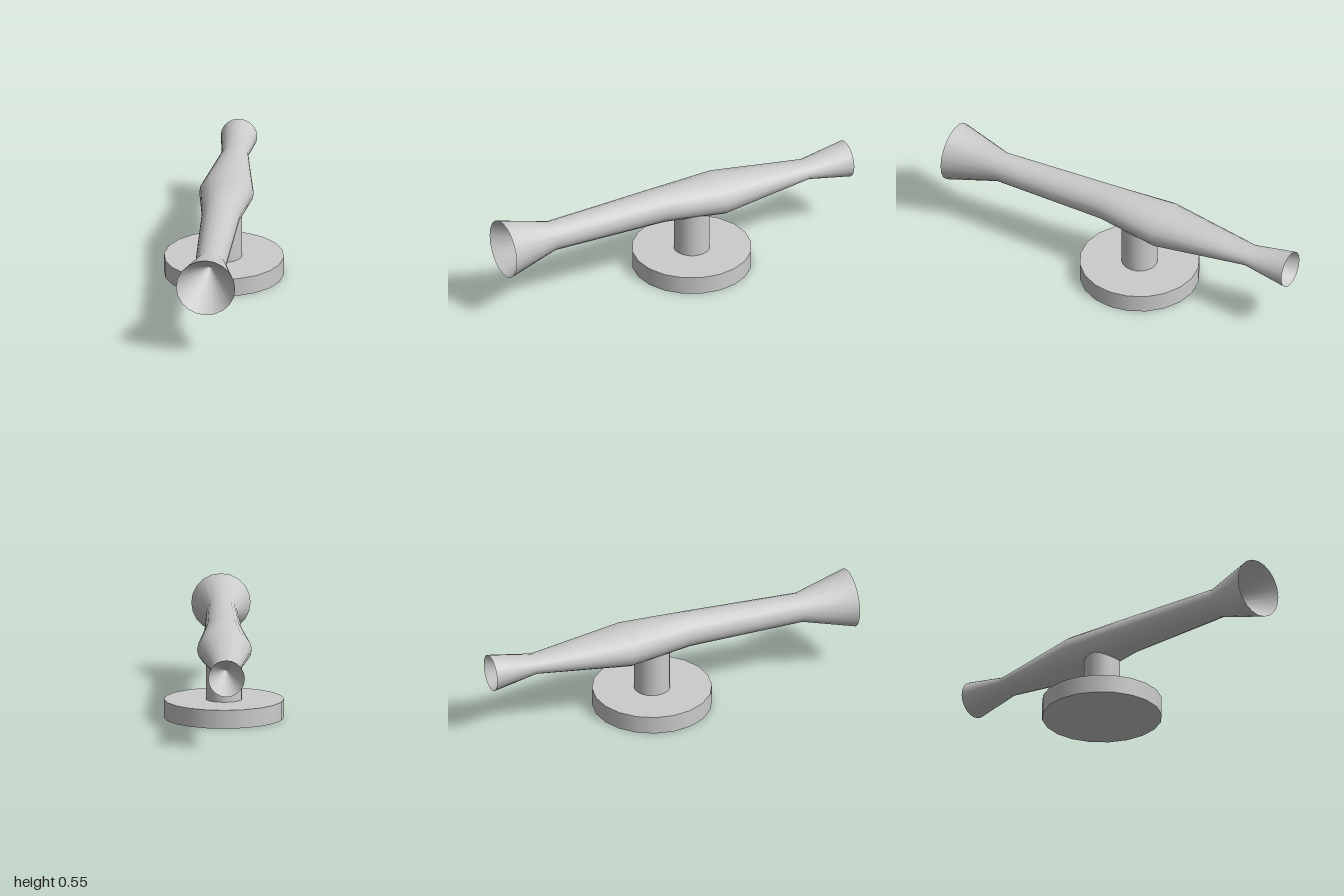
import * as THREE from 'three';

const SIDES = 20;
const material = new THREE.MeshStandardMaterial({ color: 0xcccccc });

// Smooth skin over elliptical rings [z, centre y, half width, half height].
// Rings running towards -z face outwards, rings running towards +z face inwards.
function loft(rings) {
  const positions = [], index = [];
  for (const [z, cy, rx, ry] of rings) {
    for (let j = 0; j < SIDES; j++) {
      const a = (j / SIDES) * Math.PI * 2;
      positions.push(rx * Math.cos(a), cy + ry * Math.sin(a), z);
    }
  }
  for (let i = 0; i < rings.length - 1; i++) {
    for (let j = 0; j < SIDES; j++) {
      const k = (j + 1) % SIDES;
      const a = i * SIDES + j, b = i * SIDES + k;
      const c = a + SIDES, d = b + SIDES;
      index.push(a, c, b, b, c, d);
    }
  }
  const geometry = new THREE.BufferGeometry();
  geometry.setAttribute('position', new THREE.Float32BufferAttribute(positions, 3));
  geometry.setIndex(index);
  geometry.computeVertexNormals();
  return geometry;
}

export function createModel() {
  const group = new THREE.Group();
  const add = (name, geometry, y = 0, z = 0) => {
    const mesh = new THREE.Mesh(geometry, material);
    mesh.name = name;
    mesh.position.set(0, y, z);
    group.add(mesh);
  };

  // Round foot and the post that carries the tube
  add('base', new THREE.CylinderGeometry(0.312, 0.312, 0.097, SIDES), 0.0485, -0.1);
  add('post', new THREE.CylinderGeometry(0.094, 0.094, 0.27, SIDES), 0.232, -0.1);

  // Long tube: wide front flare, neck, swelling middle, rear neck, small flare
  const frontRim = [1, 0.392, 0.154, 0.154];
  const rearRim = [-1, 0.379, 0.095, 0.097];
  add('tube', loft([
    frontRim,
    [0.72, 0.395, 0.08, 0.077],
    [0.09, 0.405, 0.1, 0.089],
    [-0.25, 0.387, 0.142, 0.106],
    [-0.76, 0.382, 0.069, 0.048],
    rearRim,
  ]));

  // Conical hollows at both ends
  add('frontFunnel', loft([[0.72, 0.392, 0.0005, 0.0005], frontRim]));
  add('rearFunnel', loft([rearRim, [-0.76, 0.38, 0.0005, 0.0005]]));

  return group;
}
